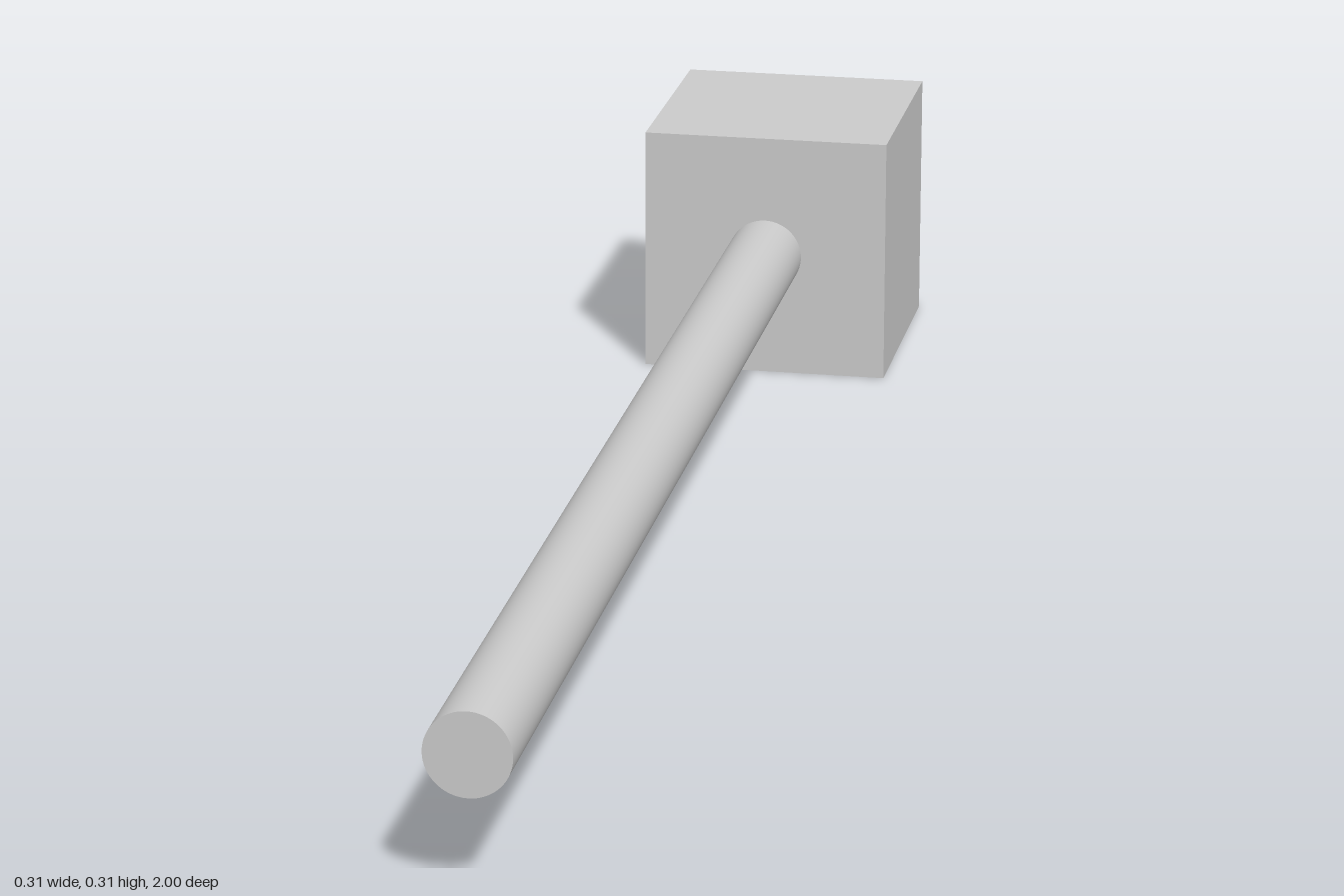
import * as THREE from 'three';

export function createModel() {
  const model = new THREE.Group();
  const material = new THREE.MeshStandardMaterial({ color: 0xcccccc });
  const headSize = 0.305;
  const rodRadius = 0.046;
  const rodLength = 2 - headSize;

  // Cubic head at the back
  const head = new THREE.Mesh(new THREE.BoxGeometry(headSize, headSize, headSize), material);
  head.name = 'head';
  head.position.set(0, headSize / 2, -1 + headSize / 2);

  // Round handle running forward from the centre of the head
  const handle = new THREE.Mesh(
    new THREE.CylinderGeometry(rodRadius, rodRadius, rodLength, 64).rotateX(Math.PI / 2),
    material
  );
  handle.name = 'handle';
  handle.position.set(0, headSize / 2, 1 - rodLength / 2);

  model.add(head, handle);
  return model;
}
